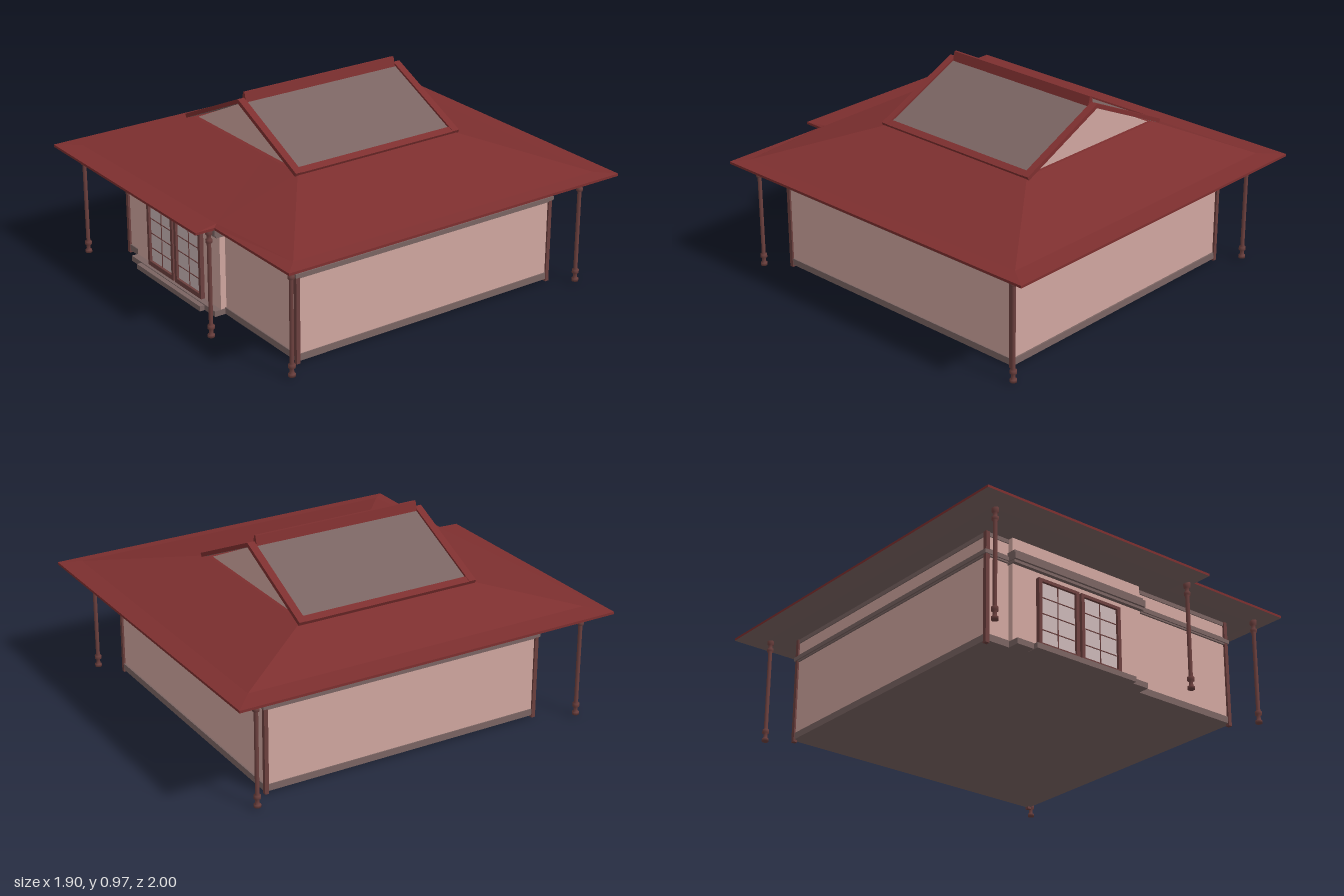
import * as THREE from 'three';

const mat = (name, color, side = THREE.FrontSide) => {
  const m = new THREE.MeshStandardMaterial({ color, side });
  m.name = name;
  return m;
};

export function createModel() {
  const roofRed = mat('roof red', 0x7d2f2f);
  const grey = mat('warm grey', 0x7a6462);
  const plaster = mat('pink plaster', 0xd0a69f);
  const wood = mat('dark wood', 0x6c403e);
  const paper = mat('door paper', 0xcab6b6);
  const model = new THREE.Group();

  const add = (name, geo, material, parent = model) => {
    const mesh = new THREE.Mesh(geo, material);
    mesh.name = name;
    parent.add(mesh);
    return mesh;
  };
  // box given by its limits on each axis
  const box = (name, [x0, x1], [y0, y1], [z0, z1], material, parent = model) => {
    const m = add(name, new THREE.BoxGeometry(x1 - x0, y1 - y0, z1 - z0), material, parent);
    m.position.set((x0 + x1) / 2, (y0 + y1) / 2, (z0 + z1) / 2);
    return m;
  };
  // faceted skin between closed loops of [x, z] points, each at its own height
  const loft = (levels) => {
    const pos = [];
    for (let l = 0; l + 1 < levels.length; l++) {
      const [a, ya] = levels[l], [b, yb] = levels[l + 1];
      for (let i = 0; i < a.length; i++) {
        const j = (i + 1) % a.length;
        const p = [a[i][0], ya, a[i][1]], q = [a[j][0], ya, a[j][1]];
        const r = [b[j][0], yb, b[j][1]], s = [b[i][0], yb, b[i][1]];
        pos.push(...p, ...q, ...r, ...p, ...r, ...s);
      }
    }
    const g = new THREE.BufferGeometry();
    g.setAttribute('position', new THREE.Float32BufferAttribute(pos, 3));
    g.computeVertexNormals();
    return g;
  };

  // walls, floor and bands
  box('walls', [-0.73, 0.742], [0.02, 0.54], [-0.757, 0.715], plaster);
  box('floorSill', [-0.735, 0.748], [0.012, 0.045], [-0.765, 0.722], grey);
  box('wallBand', [-0.737, 0.75], [0.42, 0.455], [-0.765, 0.724], grey);
  box('wallBandLip', [-0.745, 0.757], [0.428, 0.447], [-0.772, 0.73], grey);
  box('topBand', [-0.735, 0.748], [0.52, 0.545], [-0.762, 0.72], grey);
  for (const x of [-0.729, 0.741])
    for (const z of [-0.757, 0.716])
      box('cornerPost', [x - 0.01, x + 0.01], [0, 0.542], [z - 0.01, z + 0.01], wood);

  // entrance bay
  box('entranceWall', [-0.605, 0.157], [0.03, 0.54], [0.7, 0.745], plaster);
  box('entranceSill', [-0.607, 0.16], [0.012, 0.04], [0.7, 0.78], grey);
  box('entranceBand', [-0.61, 0.162], [0.412, 0.472], [0.7, 0.765], grey);
  box('entranceBandLip', [-0.613, 0.165], [0.425, 0.458], [0.7, 0.776], grey);
  box('step', [-0.515, 0.065], [0.01, 0.036], [0.74, 0.805], grey);

  // sliding doors
  for (const x of [-0.4705, -0.2205]) {
    const door = new THREE.Group();
    door.name = 'slidingDoor';
    door.position.x = x;
    model.add(door);
    const w = 0.236, y0 = 0.042, y1 = 0.38, z = [0.74, 0.766];
    box('doorPaper', [0.01, w - 0.01], [y0, y1], [0.74, 0.753], paper, door);
    for (const s of [0, w - 0.018]) box('doorStile', [s, s + 0.018], [y0, y1], z, wood, door);
    box('doorTopRail', [0, w], [y1 - 0.015, y1], z, wood, door);
    box('doorBottomRail', [0, w], [y0, y0 + 0.024], z, wood, door);
    for (const y of [0.135, 0.214, 0.292])
      box('doorBar', [0.01, w - 0.01], [y - 0.002, y + 0.002], [0.75, 0.756], wood, door);
    box('doorMullion', [w / 2 - 0.002, w / 2 + 0.002], [y0, y1], [0.75, 0.756], wood, door);
  }

  // veranda columns with collars at both ends
  const profile = [[0, 0.01], [0.017, 0.01], [0.017, 0.024], [0.01, 0.026], [0.01, 0.05], [0.017, 0.053],
    [0.017, 0.07], [0.01, 0.075], [0.01, 0.482], [0.016, 0.485], [0.016, 0.5], [0.01, 0.503],
    [0.01, 0.522], [0.017, 0.525], [0.017, 0.555], [0, 0.555]].map(([x, y]) => new THREE.Vector2(x, y));
  for (const [x, z] of [[-0.83, 0.9], [0.315, 0.9], [0.842, 0.815], [0.842, -0.857], [-0.83, -0.857]])
    add('verandaColumn', new THREE.LatheGeometry(profile, 10), wood).position.set(x, 0, z);

  // hipped roof with flared eaves and a notch at one front corner
  const eave = [[-0.95, 1], [0.365, 1], [0.365, 0.9], [0.95, 0.9], [0.95, -1], [-0.95, -1]];
  const flare = [[-0.84, 0.9], [0.35, 0.88], [0.35, 0.88], [0.88, 0.83], [0.88, -0.9], [-0.84, -0.9]];
  const crown = [[-0.56, 0.43], [0.08, 0.43], [0.08, 0.43], [0.34, 0.43], [0.34, -0.475], [-0.56, -0.475]];
  const under = [[-0.85, 0.9], [0.29, 0.9], [0.29, 0.8], [0.86, 0.8], [0.86, -0.9], [-0.85, -0.9]];
  const mid = eave.map(() => [-0.1, 0]);
  add('hipRoof', loft([[eave, 0.562], [eave, 0.574], [flare, 0.584], [crown, 0.716], [mid, 0.716]]), roofRed);
  add('soffit', loft([[mid, 0.54], [under, 0.54], [eave, 0.562]]), grey);

  // raised gable
  const cx = -0.115, tilt = Math.atan2(0.218, 0.475), len = 0.525;
  const tri = new THREE.Shape([[-0.565, 0.705], [0.335, 0.705], [cx, 0.923]].map((p) => new THREE.Vector2(...p)));
  add('gableWall', new THREE.ExtrudeGeometry(tri, { depth: 0.87, bevelEnabled: false }), plaster).position.z = -0.46;
  for (const s of [-1, 1]) {
    const slope = new THREE.Group();
    slope.name = 'gableSlope';
    slope.position.set(cx, 0.945, 0);
    slope.rotation.z = -s * tilt;
    model.add(slope);
    const span = (a, b) => (s > 0 ? [a, b] : [-b, -a]);
    box('slopePanel', span(0, len - 0.01), [-0.022, -0.01], [-0.485, 0.44], grey, slope);
    for (const z of [[0.418, 0.455], [-0.5, -0.463]])
      box('bargeboard', span(0, len), [-0.02, 0], z, roofRed, slope);
    box('eaveTrim', span(len - 0.036, len), [-0.02, -0.002], [-0.47, 0.425], roofRed, slope);
  }
  // ridge cap, narrower towards the top
  const ridge = new THREE.Shape([[-0.018, 0.925], [0.018, 0.925], [0.006, 0.973], [-0.006, 0.973]].map((p) => new THREE.Vector2(...p)));
  add('ridgeCap', new THREE.ExtrudeGeometry(ridge, { depth: 0.88, bevelEnabled: false }), roofRed).position.set(cx, 0, -0.46);

  return model;
}
